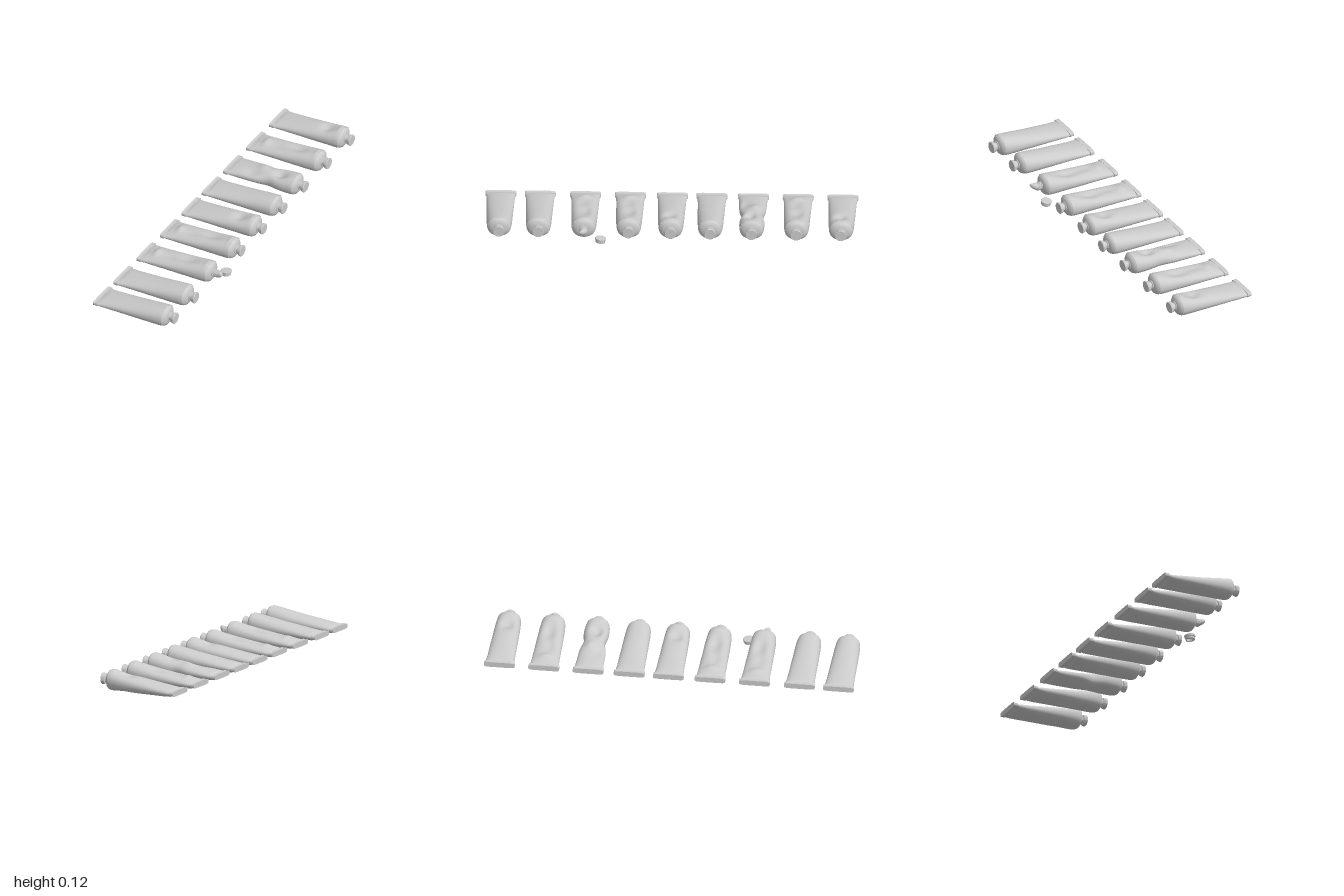
import * as THREE from 'three';
import { toCreasedNormals } from 'three/addons/utils/BufferGeometryUtils.js';

const material = new THREE.MeshStandardMaterial({ color: 0xcccccc, side: THREE.DoubleSide });
const AXIS_Y = 0.065; // height of the neck axis
const SIDES = 40;

// Dents: [x, z, lengthX, widthZ, depth]; a negative depth makes a ridge
const shortDent = [[0.075, 0.005, 0.04, 0.035, 0.02], [0.15, 0.0, 0.015, 0.04, -0.005]];
const longDent = [[-0.08, 0.01, 0.05, 0.025, 0.008], [0.03, -0.005, 0.065, 0.03, 0.018],
  [-0.17, 0, 0.025, 0.035, -0.012], [0.15, 0, 0.015, 0.04, -0.005]];
const crumple = [[0.07, 0.01, 0.04, 0.03, 0.026], [-0.09, 0.04, 0.05, 0.025, 0.012],
  [-0.05, -0.02, 0.03, 0.025, -0.01]];

const TUBES = [
  { z: -0.917, dents: shortDent },
  { z: -0.677, dents: longDent },
  { z: -0.437, dents: crumple, pinch: 0.18 },
  { z: -0.215, dents: [] },
  { z: -0.003, dents: shortDent },
  { z: 0.222, dents: longDent },
  { z: 0.463, dents: longDent, open: true },
  { z: 0.706, dents: [] },
  { z: 0.917, dents: [] },
];

// Cross-sections along the tube: [x, half width, bottom y, top y]
const BODY = [[-0.226, 0.081, 0.021, 0.049], [-0.21, 0.078, 0.011, 0.056], [-0.17, 0.075, 0.008, 0.063],
  [0, 0.071, 0.007, 0.09], [0.11, 0.068, 0.007, 0.11], [0.15, 0.065, 0.007, 0.117], [0.166, 0.062, 0.009, 0.119]];
const SHOULDER = [[0.166, 0.062, 0.009, 0.119], [0.175, 0.054, 0.013, 0.115],
  [0.182, 0.042, 0.024, 0.105], [0.186, 0.024, 0.041, 0.089], [0.187, 0.001, 0.064, 0.066]];
const CRIMP = [[-0.247, 0.001, 0.035, 0.036], [-0.247, 0.083, 0.021, 0.05], [-0.236, 0.083, 0.024, 0.047],
  [-0.224, 0.083, 0.021, 0.05], [-0.223, 0.076, 0.023, 0.047]];

function section(table, x) {
  let i = 0;
  while (i < table.length - 2 && x > table[i + 1][0]) i++;
  const t = (x - table[i][0]) / (table[i + 1][0] - table[i][0]);
  return table[i].map((v, k) => THREE.MathUtils.lerp(v, table[i + 1][k], t));
}

// Skin over closed rings; power below 1 squares off the cross-section
function loft(sections, power = 1, deform = null) {
  const positions = [], index = [];
  const round = (v) => Math.sign(v) * Math.abs(v) ** power;
  sections.forEach(([x, w, y0, y1], i) => {
    for (let j = 0; j < SIDES; j++) {
      const a = (j / SIDES) * Math.PI * 2;
      const p = new THREE.Vector3(x, (y0 + y1) / 2 + ((y1 - y0) / 2) * round(Math.sin(a)), w * round(Math.cos(a)));
      if (deform) deform(p, Math.sin(a));
      positions.push(p.x, p.y, p.z);
      if (i === sections.length - 1) continue;
      const b = i * SIDES, k = (j + 1) % SIDES;
      index.push(b + j, b + SIDES + j, b + k, b + k, b + SIDES + j, b + SIDES + k);
    }
  });
  const g = new THREE.BufferGeometry();
  g.setAttribute('position', new THREE.Float32BufferAttribute(positions, 3));
  g.setIndex(index);
  g.computeVertexNormals();
  return g;
}

function lathe(points, segments = 28) {
  const g = new THREE.LatheGeometry(points.map(([r, h]) => new THREE.Vector2(r, h)), segments);
  return toCreasedNormals(g, 0.6);
}

function add(parent, name, geometry) {
  const mesh = new THREE.Mesh(geometry, material);
  mesh.name = name;
  parent.add(mesh);
  return mesh;
}

// Lathe part lying on the neck axis, its profile height running along x
function addOnAxis(parent, name, points) {
  const mesh = add(parent, name, lathe(points));
  mesh.rotation.z = -Math.PI / 2;
  mesh.position.y = AXIS_Y;
  return mesh;
}

function makeTube({ z, dents, pinch = 0, open }) {
  const tube = new THREE.Group();
  tube.name = open ? 'openPaintTube' : 'paintTube';
  tube.position.z = z;

  // Squeezed body: dents press the top down and the underside up a little
  const squeeze = (p, up) => {
    const fade = THREE.MathUtils.smoothstep(p.x, -0.215, -0.16) * (1 - THREE.MathUtils.smoothstep(p.x, 0.145, 0.166));
    const z0 = p.z;
    for (const [dx, dz, lx, wz, depth] of dents) {
      const fall = Math.exp(-(((p.x - dx) / lx) ** 2) - ((z0 - dz) / wz) ** 2) * fade;
      p.y -= depth * fall * (up > 0 ? up : Math.max(depth, 0) > 0 ? 0.5 * up : 0);
    }
    p.z *= 1 - pinch * Math.exp(-(((p.x - 0.01) / 0.05) ** 2));
  };
  const rings = [];
  for (let i = 0; i <= 48; i++) rings.push(section(BODY, -0.226 + (0.392 * i) / 48));
  add(tube, 'body', loft(rings, 0.9, squeeze));
  add(tube, 'shoulder', loft(SHOULDER, 0.95));
  add(tube, 'crimpedEnd', toCreasedNormals(loft(CRIMP, 0.35), 0.6));

  if (open) {
    // Threaded neck with paint coming out
    addOnAxis(tube, 'neck', [[0.024, 0.182], [0.024, 0.19], [0.02, 0.191], [0.02, 0.216], [0.012, 0.217]]);
    for (let i = 0; i < 3; i++) {
      const thread = add(tube, 'neckThread', new THREE.TorusGeometry(0.02, 0.002, 8, 28));
      thread.rotation.y = Math.PI / 2;
      thread.position.set(0.196 + i * 0.007, AXIS_Y, 0);
    }
    const blob = [];
    for (let i = 0; i <= 12; i++) {
      const t = i / 12, r = 0.02 * Math.sqrt(1 - t * t) + 0.0002, y = AXIS_Y + 0.011 * t;
      blob.push([0.208 + 0.039 * t, r, y - r, y + r]);
    }
    add(tube, 'paintBlob', loft(blob, 1, (p) => { p.z += 10 * (p.x - 0.208) ** 2; }));
  } else {
    // Screw cap with a narrow waist
    addOnAxis(tube, 'cap', [[0.026, 0.182], [0.026, 0.189], [0.02, 0.191], [0.021, 0.2],
      [0.028, 0.203], [0.032, 0.219], [0.03, 0.222], [0, 0.222]]);
  }
  return tube;
}

export function createModel() {
  const model = new THREE.Group();
  model.name = 'paintTubes';
  for (const t of TUBES) model.add(makeTube(t));

  // Removed cap lying hollow side down
  const cap = add(model, 'looseCap', lathe([[0, 0.016], [0.019, 0.016], [0.02, 0], [0.025, 0],
    [0.026, 0.012], [0.029, 0.014], [0.03, 0.024], [0.028, 0.026], [0, 0.026]]));
  cap.position.set(0.21, 0.003, 0.373);
  cap.rotation.set(-0.1, 0, 0.08);
  return model;
}
